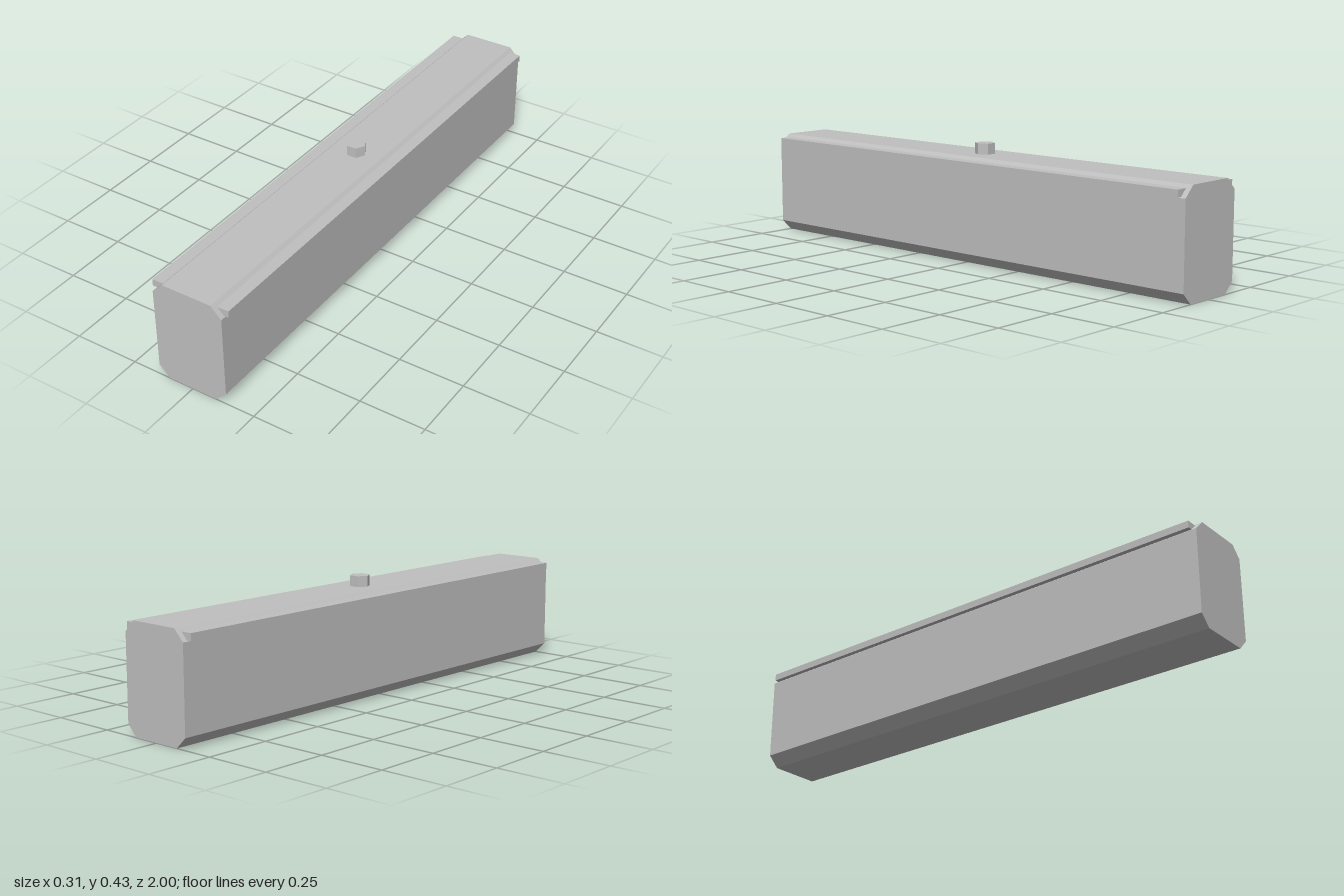
import * as THREE from 'three';

export function createModel() {
  const model = new THREE.Group();
  model.name = 'chamferedBeam';
  const grey = new THREE.MeshStandardMaterial({ color: 0xbfbfbf, flatShading: true });
  grey.name = 'plainGrey';

  function add(name, geometry, x, y, z) {
    const mesh = new THREE.Mesh(geometry, grey);
    mesh.name = name;
    mesh.position.set(x, y, z);
    model.add(mesh);
    return mesh;
  }

  // Long body with chamfered corners
  const halfWidth = 0.139, height = 0.394, chamfer = 0.041;
  const inner = halfWidth - chamfer;
  const section = new THREE.Shape([
    [-inner, 0], [inner, 0], [halfWidth, chamfer], [halfWidth, height - chamfer],
    [inner, height], [-inner, height], [-halfWidth, height - chamfer], [-halfWidth, chamfer],
  ].map(([x, y]) => new THREE.Vector2(x, y)));
  add('body', new THREE.ExtrudeGeometry(section, { depth: 2, bevelEnabled: false }), 0, 0, -1);

  // Rail along each upper chamfer, slightly shorter than the body
  for (const side of [1, -1]) {
    add(side > 0 ? 'leftRail' : 'rightRail',
      new THREE.BoxGeometry(0.046, 0.026, 1.96), side * 0.131, 0.369, 0);
  }

  // Hexagonal stud on top, with corners pointing to the sides
  const stud = add('stud', new THREE.CylinderGeometry(0.038, 0.038, 0.044, 6), 0, 0.412, 0);
  stud.rotation.y = Math.PI / 6;

  return model;
}
